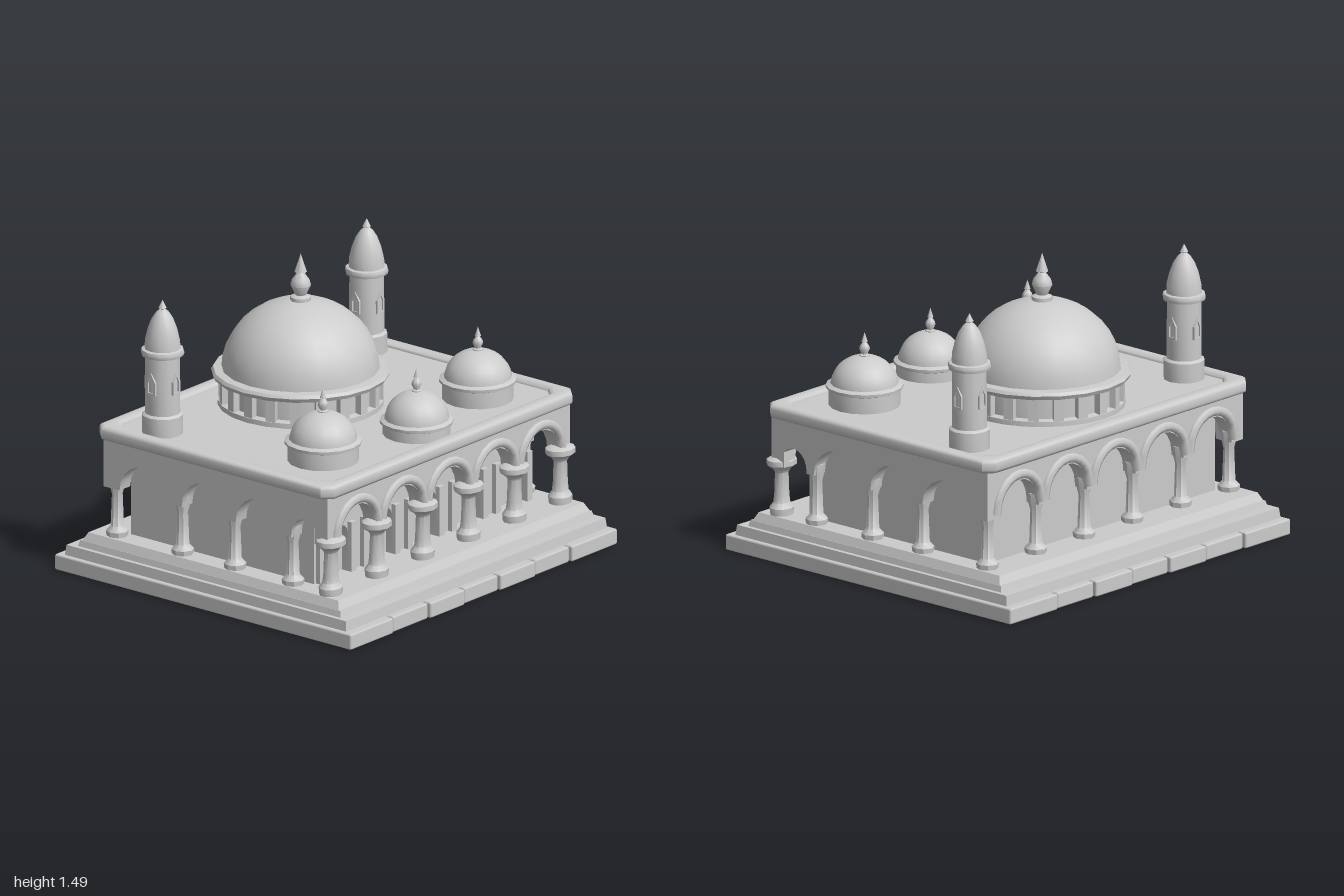
import * as THREE from 'three';
import { toCreasedNormals } from 'three/addons/utils/BufferGeometryUtils.js';
import { RoundedBoxGeometry } from 'three/addons/geometries/RoundedBoxGeometry.js';

const stone = new THREE.MeshStandardMaterial({ color: 0xcccccc });
const thin = new THREE.MeshStandardMaterial({ color: 0xcccccc, side: THREE.DoubleSide });

function add(parent, name, geo, x = 0, y = 0, z = 0, mat = stone) {
  const m = new THREE.Mesh(geo, mat);
  m.name = name;
  m.position.set(x, y, z);
  parent.add(m);
  return m;
}

const lathe = (pts, sides) =>
  toCreasedNormals(new THREE.LatheGeometry(pts.map(p => new THREE.Vector2(p[0], p[1])), sides), 0.7);

// Box whose top is inset on all four sides, giving a sloped step
function slopedBox(w, h, d, inset) {
  const g = new THREE.BoxGeometry(w, h, d);
  const p = g.attributes.position;
  for (let i = 0; i < p.count; i++) {
    if (p.getY(i) > 0) {
      p.setX(i, p.getX(i) - Math.sign(p.getX(i)) * inset);
      p.setZ(i, p.getZ(i) - Math.sign(p.getZ(i)) * inset);
    }
  }
  g.computeVertexNormals();
  return g;
}

// Points of a half-elliptical arch, from left springing to right
function archPoints(c, half, spring, rise, n = 10) {
  const pts = [];
  for (let i = 0; i <= n; i++) {
    const a = Math.PI * (1 - i / n);
    pts.push([c + half * Math.cos(a), spring + rise * Math.sin(a)]);
  }
  return pts;
}

// Wall with arches cut up from its bottom edge; outer face at local z = 0
function arcadeGeometry(u0, u1, bottom, top, depth, arches) {
  const s = new THREE.Shape();
  s.moveTo(u0, top);
  s.lineTo(u0, bottom);
  for (const [c, half, spring, rise] of arches) {
    s.lineTo(c - half, bottom);
    for (const [x, y] of archPoints(c, half, spring, rise)) s.lineTo(x, y);
    s.lineTo(c + half, bottom);
  }
  s.lineTo(u1, bottom);
  s.lineTo(u1, top);
  s.closePath();
  const g = new THREE.ExtrudeGeometry(s, { depth, bevelEnabled: false });
  g.translate(0, 0, -depth);
  return toCreasedNormals(g, 0.7);
}

// Rectangle with cut corners
function cutRect(Type, w, d, cut) {
  const s = new Type();
  s.setFromPoints([[w - cut, -d], [w, cut - d], [w, d - cut], [w - cut, d],
    [cut - w, d], [-w, d - cut], [-w, cut - d], [cut - w, -d]].map(p => new THREE.Vector2(...p)));
  s.closePath();
  return s;
}

// Spire ornament standing on y = 0
function finial(r, h, sides) {
  return lathe([[r, -0.02], [r, h * 0.1], [r * 0.55, h * 0.14], [r, h * 0.34], [r * 0.85, h * 0.46],
    [r * 0.35, h * 0.6], [r * 0.6, h * 0.62], [0, h]], sides);
}

function domeProfile(r, y, h, power = 1) {
  const pts = [];
  for (let i = 0; i <= 9; i++) {
    const a = (i / 9) * Math.PI / 2;
    pts.push([i === 9 ? 0 : r * Math.pow(Math.cos(a), power), y + h * Math.sin(a)]);
  }
  return pts;
}

function buildBase(g) {
  // Row of paving slabs running front to back
  const joints = [-1, -0.67, -0.4, -0.135, 0.125, 0.395, 0.66, 1];
  for (let i = 0; i < 7; i++) {
    const w = joints[i + 1] - joints[i] - (i < 6 ? 0.008 : 0);
    const d = i % 2 ? 1.82 : 1.84;
    add(g, 'plinthSlab', new RoundedBoxGeometry(w, 0.08, d, 1, 0.01), joints[i] + w / 2, 0.04, 0);
  }
  add(g, 'lowerStep', slopedBox(1.96, 0.07, 1.75, 0.008), 0, 0.095, 0);
  add(g, 'upperStep', slopedBox(1.9, 0.03, 1.63, 0.008), 0, 0.145, 0);
  add(g, 'floorPlatform', slopedBox(1.88, 0.04, 1.59, 0.02), 0, 0.18, 0);
}

function buildHall(g) {
  add(g, 'hall', new THREE.BoxGeometry(1.62, 0.5, 1.1), 0, 0.45, -0.05);
  const doors = [-0.66, -0.33, 0, 0.33, 0.66];
  add(g, 'doorWall', arcadeGeometry(-0.81, 0.81, 0.2, 0.7, 0.04, doors.map(c => [c, 0.1, 0.4, 0.055])), 0, 0, 0.535);
  for (const c of doors) {
    for (const s of [-1, 1]) {
      add(g, 'doorPilaster', new THREE.BoxGeometry(0.035, 0.25, 0.04), c + s * 0.118, 0.325, 0.54);
    }
  }
}

function buildArcades(g) {
  const centres = [-0.688, -0.344, 0, 0.344, 0.688];
  const xs = [-0.86, -0.516, -0.172, 0.172, 0.516, 0.86];
  const long = arcadeGeometry(-0.91, 0.91, 0.45, 0.72, 0.08, centres.map(c => [c, 0.145, 0.47, 0.14]));
  // Front and back arcades with raised mouldings over the arches
  for (const [name, z, turn] of [['frontArcade', 0.7, 0], ['backArcade', -0.69, Math.PI]]) {
    const side = new THREE.Group();
    side.name = name;
    side.position.z = z;
    side.rotation.y = turn;
    g.add(side);
    add(side, 'archWall', long);
    for (const c of centres) {
      const path = new THREE.CatmullRomCurve3(
        archPoints(c, 0.16, 0.47, 0.17, 8).map(p => new THREE.Vector3(p[0], p[1], 0)));
      add(side, 'archMoulding', new THREE.TubeGeometry(path, 12, 0.025, 6), 0, 0, 0, thin);
    }
  }
  // Side arcades, running along z
  const sideArches = [[0.56, 0.085, 0.46, 0.1], [0.28, 0.15, 0.45, 0.15], [-0.07, 0.135, 0.45, 0.15], [-0.43, 0.16, 0.45, 0.15]];
  for (const s of [-1, 1]) {
    const arches = sideArches.map(([c, ...r]) => [-s * c, ...r]).sort((a, b) => a[0] - b[0]);
    const ends = s > 0 ? [-0.7, 0.69] : [-0.69, 0.7];
    add(g, s > 0 ? 'leftArcade' : 'rightArcade', arcadeGeometry(...ends, 0.45, 0.72, 0.08, arches), s * 0.91)
      .rotation.y = s * Math.PI / 2;
  }
  // Front columns with broad capitals; plain slim columns elsewhere
  const front = lathe([[0, 0.2], [0.062, 0.2], [0.065, 0.235], [0.045, 0.26], [0.04, 0.3], [0.036, 0.41],
    [0.05, 0.43], [0.08, 0.45], [0.08, 0.475], [0.05, 0.49], [0, 0.49]], 10);
  const slim = lathe([[0, 0.2], [0.052, 0.2], [0.055, 0.225], [0.032, 0.25], [0.026, 0.41], [0.036, 0.45],
    [0.04, 0.5], [0, 0.5]], 8);
  for (const x of xs) {
    add(g, 'frontColumn', front, x, 0, 0.68).scale.z = 0.85;
    add(g, 'backColumn', slim, x, 0, -0.645);
  }
  for (const s of [-1, 1]) {
    for (const z of [0.45, 0.09, -0.235]) add(g, 'sideColumn', slim, s * 0.865, 0, z);
  }
}

function buildRoof(g) {
  const deck = new THREE.ExtrudeGeometry(cutRect(THREE.Shape, 0.9, 0.69, 0.05), { depth: 0.04, bevelEnabled: false });
  add(g, 'roofDeck', deck, 0, 0.74, 0).rotation.x = Math.PI / 2;
  // Rounded cornice around the deck
  const shape = cutRect(THREE.Shape, 0.915, 0.705, 0.035);
  shape.holes.push(cutRect(THREE.Path, 0.89, 0.68, 0.07));
  const rim = new THREE.ExtrudeGeometry(shape,
    { depth: 0.03, bevelThickness: 0.02, bevelSize: 0.025, bevelSegments: 3 });
  add(g, 'cornice', toCreasedNormals(rim, 0.7), 0, 0.74, 0).rotation.x = Math.PI / 2;
}

function buildDomes(g) {
  const main = new THREE.Group();
  main.name = 'mainDome';
  main.position.set(-0.005, 0, -0.215);
  g.add(main);
  add(main, 'drum', lathe([[0.4, 0.72], [0.4, 0.765], [0.365, 0.77], [0.365, 0.9]], 24));
  for (let i = 0; i < 20; i++) {
    const a = (i / 20) * Math.PI * 2;
    add(main, 'drumPier', new THREE.BoxGeometry(0.05, 0.13, 0.04), 0.375 * Math.sin(a), 0.825, 0.375 * Math.cos(a))
      .rotation.y = a;
  }
  add(main, 'drumBand', lathe([[0.36, 0.875], [0.42, 0.88], [0.43, 0.9], [0.42, 0.915], [0.37, 0.92]], 20));
  add(main, 'domeShell', lathe(domeProfile(0.38, 0.91, 0.35), 20));
  add(main, 'finial', finial(0.05, 0.24, 10), 0, 1.25, 0);

  // Three small domes near the front
  for (const [x, y, z, k] of [[-0.58, 0, 0.4, 1], [0.58, 0, 0.4, 1], [0, -0.03, 0.5, 0.95]]) {
    const d = new THREE.Group();
    d.name = 'smallDome';
    d.position.set(x, y, z);
    d.scale.set(k, 1, k);
    g.add(d);
    add(d, 'drum', lathe([[0.172, 0.74], [0.172, 0.82], [0.185, 0.825], [0.187, 0.84], [0.165, 0.85]], 16));
    add(d, 'domeShell', lathe(domeProfile(0.165, 0.835, 0.15), 16));
    add(d, 'finial', finial(0.026, 0.125, 8), 0, 0.975, 0);
  }
}

function buildMinarets(g) {
  // Pointed window surround
  const frame = new THREE.Shape([[-0.026, 0], [0.026, 0], [0.026, 0.065], [0, 0.11], [-0.026, 0.065]]
    .map(p => new THREE.Vector2(...p)));
  frame.holes.push(new THREE.Path([[-0.016, 0.01], [-0.016, 0.06], [0, 0.09], [0.016, 0.06], [0.016, 0.01]]
    .map(p => new THREE.Vector2(...p))));
  const windowGeo = new THREE.ExtrudeGeometry(frame, { depth: 0.014, bevelEnabled: false });
  for (const s of [-1, 1]) {
    const m = new THREE.Group();
    m.name = s > 0 ? 'leftMinaret' : 'rightMinaret';
    m.position.set(s * 0.765, 0, -0.443);
    g.add(m);
    add(m, 'shaft', lathe([[0.1, 0.72], [0.1, 0.835], [0.086, 0.845], [0.084, 1.13], [0.102, 1.135],
      [0.106, 1.15], [0.102, 1.165], [0.085, 1.17]], 12));
    for (let i = 0; i < 4; i++) {
      const a = (i * Math.PI) / 2;
      add(m, 'windowFrame', windowGeo, 0.075 * Math.sin(a), 0.95, 0.075 * Math.cos(a)).rotation.y = a;
    }
    add(m, 'pointedCap', lathe([[0.088, 1.16], [0.085, 1.21], [0.072, 1.265], [0.053, 1.315], [0.03, 1.35],
      [0.012, 1.365], [0.02, 1.37], [0, 1.41]], 12));
  }
}

export function createModel() {
  const g = new THREE.Group();
  g.name = 'domedHall';
  buildBase(g);
  buildHall(g);
  buildArcades(g);
  buildRoof(g);
  buildDomes(g);
  buildMinarets(g);
  return g;
}
